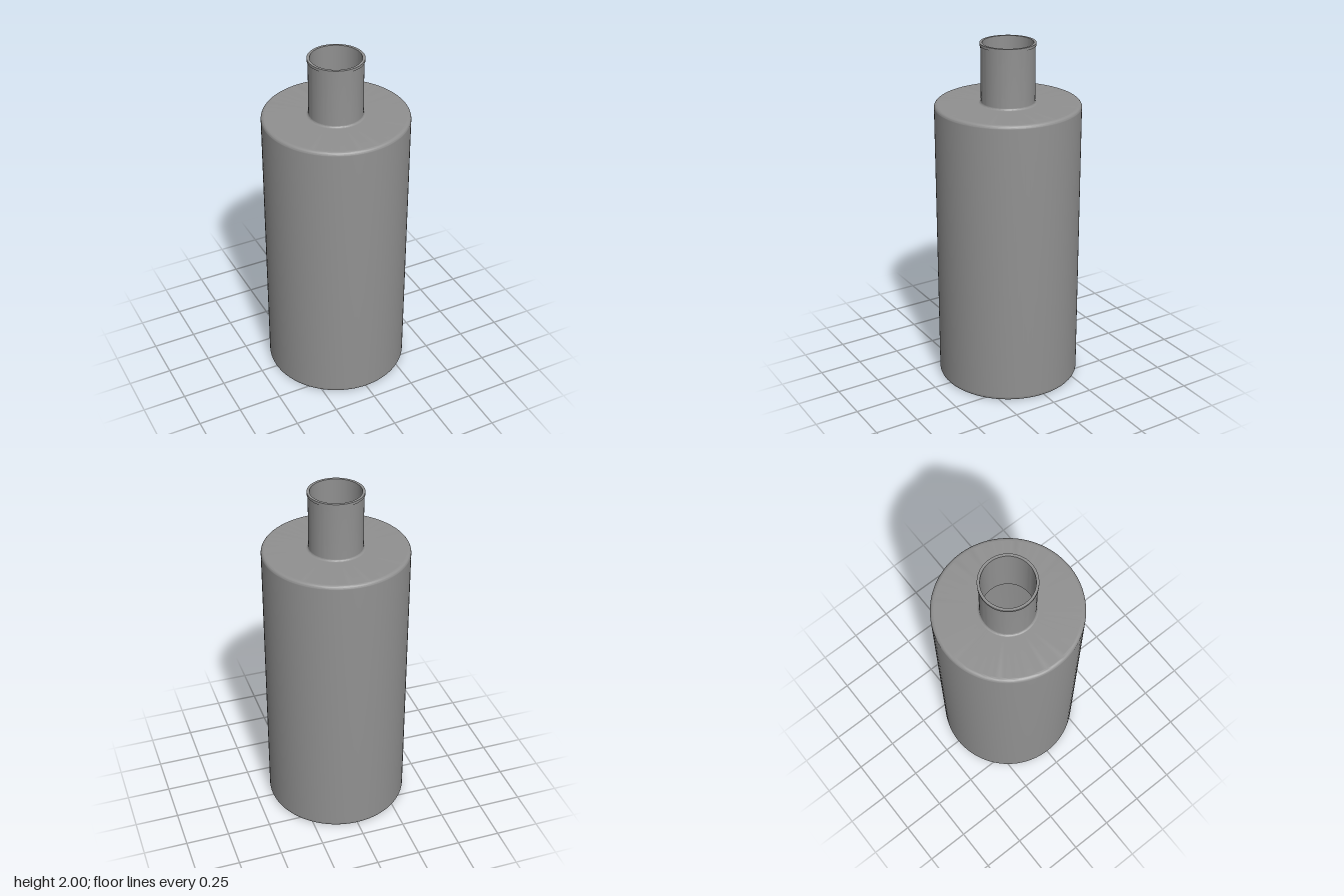
import * as THREE from 'three';
import { toCreasedNormals } from 'three/addons/utils/BufferGeometryUtils.js';

const SEGMENTS = 96;

// Quarter-round points about (cx, cy), angles in degrees
function arc(cx, cy, r, from, to, steps = 6) {
  return Array.from({ length: steps + 1 }, (_, i) => {
    const a = THREE.MathUtils.degToRad(from + ((to - from) * i) / steps);
    return [cx + r * Math.cos(a), cy + r * Math.sin(a)];
  });
}

// Revolved part: smooth round fillets, sharp corners
function lathe(name, profile, material) {
  const points = profile.map(([x, y]) => new THREE.Vector2(Math.max(x, 0), y));
  const geometry = toCreasedNormals(new THREE.LatheGeometry(points, SEGMENTS), 0.5);
  const mesh = new THREE.Mesh(geometry, material);
  mesh.name = name;
  return mesh;
}

export function createModel() {
  const grey = new THREE.MeshStandardMaterial({ color: 0x909090 });
  grey.name = 'grey';

  const R = 0.408, shoulder = 1.66, round = 0.02; // body
  const neckR = 0.15, boreR = 0.14, lipR = 0.155; // neck
  const wall = 0.01, flare = 0.012, e = 0.004;

  const bottle = new THREE.Group();
  bottle.name = 'bottle';

  // Body with rounded bottom and shoulder edges
  bottle.add(lathe('body', [
    [0, 0], [R - round - e, 0],
    ...arc(R - round, round, round, -90, 0),
    [R, round + e], [R, shoulder - round - e],
    ...arc(R - round, shoulder - round, round, 0, 90),
    [R - round - e, shoulder], [neckR + flare, shoulder],
  ], grey));

  // Neck with a concave foot and a small lip at the mouth
  bottle.add(lathe('neck', [
    ...arc(neckR + flare, shoulder + flare, flare, 270, 180),
    [neckR, shoulder + flare + e], [neckR, 1.985],
    [lipR, 1.985], [lipR, 2], [boreR, 2],
  ], grey));

  // Hollow inside, from the mouth down to the floor
  const inner = R - wall, bend = round - wall;
  bottle.add(lathe('interior', [
    [boreR, 2], [boreR, shoulder - wall], [inner - bend - e, shoulder - wall],
    ...arc(inner - bend, shoulder - wall - bend, bend, 90, 0),
    [inner, shoulder - round - e], [inner, round + e],
    ...arc(inner - bend, wall + bend, bend, 0, -90),
    [inner - bend - e, wall], [0, wall],
  ], grey));

  return bottle;
}
